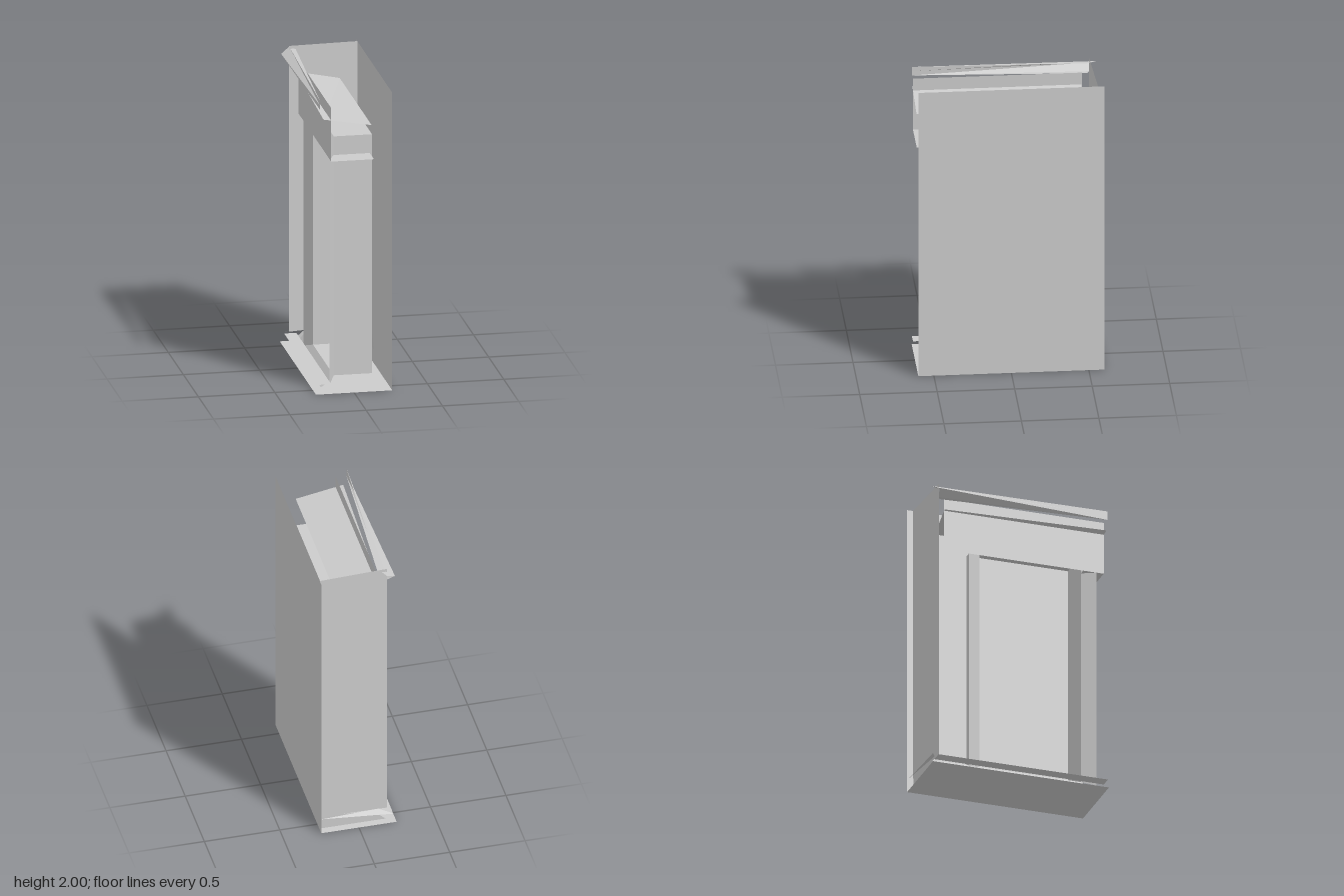
import * as THREE from 'three';

const material = new THREE.MeshStandardMaterial({ color: 0xcccccc, flatShading: true, side: THREE.DoubleSide });

// One thin surface made of convex polygons, each a loop of [x, y, z] corners
function sheet(name, ...polygons) {
  const points = [];
  for (const p of polygons)
    for (let i = 1; i < p.length - 1; i++) points.push(...p[0], ...p[i], ...p[i + 1]);
  const geometry = new THREE.BufferGeometry();
  geometry.setAttribute('position', new THREE.Float32BufferAttribute(points, 3));
  geometry.computeVertexNormals();
  const mesh = new THREE.Mesh(geometry, material);
  mesh.name = name;
  return mesh;
}

// Rectangles square to one axis
const acrossX = (x, y0, y1, z0, z1) => [[x, y0, z0], [x, y0, z1], [x, y1, z1], [x, y1, z0]];
const acrossY = (y, x0, x1, z0, z1) => [[x0, y, z0], [x0, y, z1], [x1, y, z1], [x1, y, z0]];
const acrossZ = (z, x0, x1, y0, y1) => [[x0, y0, z], [x1, y0, z], [x1, y1, z], [x0, y1, z]];

// Strips joining two cross-sections with the same number of corners
const loft = (a, b) => a.slice(1).map((p, i) => [a[i], p, b[i + 1], b[i]]);

export function createModel() {
  const group = new THREE.Group();
  const add = (...args) => group.add(sheet(...args));

  // Outer shell
  add('backPanel', acrossX(0.25, 0, 2, -0.6, 0.6));
  add('bottomPanel', acrossY(0, -0.25, 0.25, -0.6, 0.6));
  add('endWall', [[0.25, 0.1, -0.56], [-0.2, 0.08, -0.54], [-0.2, 2, -0.54], [0.25, 2, -0.56]]);

  // Recess behind the opening
  add('recessBack', acrossX(0.145, 0.08, 1.685, -0.23, 0.46));
  add('recessFloor', acrossY(0.08, -0.105, 0.145, -0.23, 0.46));
  add('recessCeiling', acrossY(1.685, -0.105, 0.145, -0.23, 0.46));
  for (const [side, z, out] of [['left', 0.46, 0.55], ['right', -0.23, -0.32]]) {
    add(side + 'RecessWall', acrossZ(z, -0.105, 0.145, 0.08, 1.685));
    add(side + 'Jamb', [[-0.105, 0.08, z], [-0.15, 0.05, out], [-0.15, 1.68, out], [-0.105, 1.685, z]]);
  }

  // Header over the opening, with its underside on the open end
  add('headerFascia', acrossX(-0.15, 1.56, 1.92, -0.49, 0.6));
  add('headerSoffit', acrossY(1.56, -0.15, 0.13, 0.46, 0.6));
  add('slopingRoof', [[-0.2, 1.845, 0.6], [0.115, 1.79, 0.6], [0.115, 1.79, -0.46], [-0.165, 1.84, -0.49]]);

  // Tapering cornice rail along the top
  const railStart = [[-0.16, 1.98, -0.525], [-0.19, 1.98, -0.59], [-0.25, 1.945, -0.555], [-0.19, 1.91, -0.54], [-0.16, 1.91, -0.525]];
  const railEnd = [1.97, 1.97, 1.94, 1.91, 1.91].map((y) => [-0.222, y, 0.6]);
  add('corniceRail', ...loft(railStart, railEnd));

  // Stepped sill and the pointed plinth strip round the end
  add('sillLedge', acrossY(0.065, -0.23, -0.15, -0.555, 0.6));
  const sill = (z) => [[-0.19, 0.005, z], [-0.15, 0.03, z], [-0.105, 0.08, z]];
  add('sillSlope', ...loft(sill(-0.5), sill(0.46)));
  add('plinthStrip',
    [[-0.235, 0.065, -0.595], [0.245, 0.1, -0.585], [-0.14, 0.09, -0.55]],
    [[-0.19, 0.005, -0.555], [0.25, 0.005, -0.555], [0.25, 0.105, -0.555], [-0.1, 0.08, -0.555]]);

  // Shallow tray between the recess and the back
  const tray = (x, y0, y1, z0, z1) => [...acrossX(x, y0, y1, z0, z1), [x, y0, z0]];
  const rim = tray(0.18, 0.2, 1.27, -0.13, 0.36);
  const face = tray(0.165, 0.4, 1.0, -0.05, 0.3);
  add('rearTray', ...loft(rim, face), face.slice(0, 4));

  return group;
}
